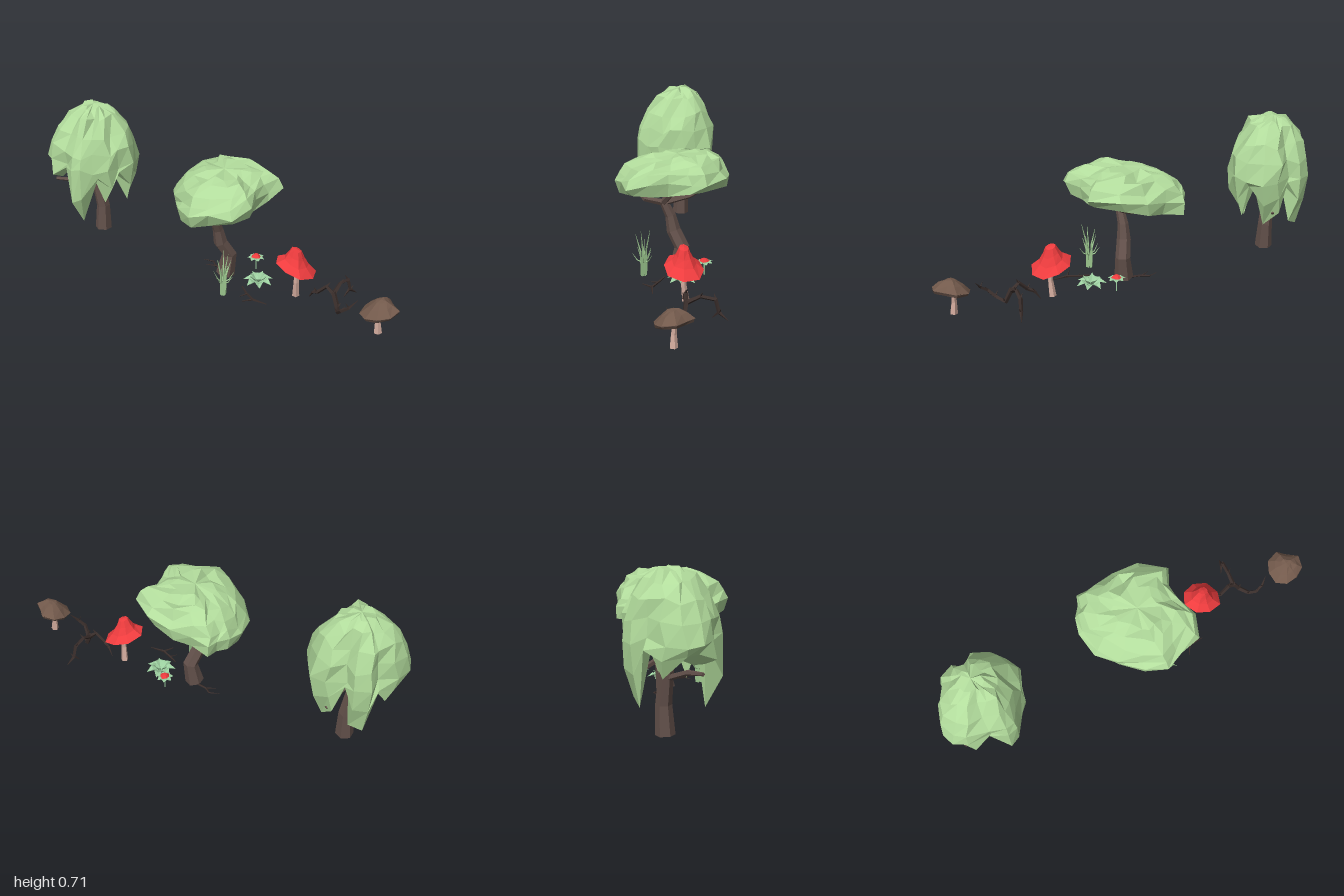
import * as THREE from 'three';

const mat = (color) => new THREE.MeshStandardMaterial({ color, flatShading: true, side: THREE.DoubleSide });
const M = {
  leaf: mat(0xb2dc9c), bark: mat(0x62504a), twig: mat(0x3a2e2b), red: mat(0xee3c3e), stem: mat(0xd0a99b),
  cap: mat(0x735a4c), gill: mat(0x9a8d86), darkGill: mat(0x5d4a41), plant: mat(0x9dd0a0), grass: mat(0x9cc78e),
};

let seed = 7;
const rnd = () => {
  seed = (seed * 16807) % 2147483647;
  return seed / 2147483647 - 0.5;
};

// Skin a list of equally long closed rings
function loft(parent, name, rings, material) {
  const n = rings[0].length, index = [];
  for (let i = 0; i < rings.length - 1; i++) {
    for (let j = 0; j < n; j++) {
      const k = (j + 1) % n, a = i * n + j, b = i * n + k;
      index.push(a, b, b + n, a, b + n, a + n);
    }
  }
  const geo = new THREE.BufferGeometry().setFromPoints(rings.flat());
  geo.setIndex(index);
  geo.computeVertexNormals();
  const mesh = new THREE.Mesh(geo, material);
  mesh.name = name;
  parent.add(mesh);
}

// Blob from a plan outline [x, z, tip] and profile rings [scale, height], top first
function blob(parent, name, outline, [cx, cz], profile, material, { tx = 0, tz = 0, jitter = 0 } = {}) {
  const rings = profile.map(([s, h]) => outline.map((p) => {
    const dx = (p[0] - cx) * s, dz = (p[1] - cz) * s, q = s ? jitter : 0;
    const y = typeof h === 'function' ? h(p) : h;
    return new THREE.Vector3(cx + dx + rnd() * q, y + tx * dx + tz * dz + rnd() * q * 1.3, cz + dz + rnd() * q);
  }));
  loft(parent, name, rings, material);
}

// Tapered faceted limb through points [x, y, z, radius]
function limb(parent, name, path, material, sides = 5) {
  const pts = path.map((p) => new THREE.Vector3(p[0], p[1], p[2]));
  const q = new THREE.Quaternion();
  let last = new THREE.Vector3(0, 1, 0);
  const rings = pts.map((p, i) => {
    const t = pts[Math.min(i + 1, pts.length - 1)].clone().sub(pts[Math.max(i - 1, 0)]).normalize();
    q.premultiply(new THREE.Quaternion().setFromUnitVectors(last, t));
    last = t;
    return Array.from({ length: sides }, (_, j) => {
      const a = (j / sides) * Math.PI * 2, r = path[i][3];
      return new THREE.Vector3(Math.cos(a) * r, 0, -Math.sin(a) * r).applyQuaternion(q).add(p);
    });
  });
  const cap = (p) => Array.from({ length: sides }, () => p.clone());
  loft(parent, name, [cap(pts[0]), ...rings, cap(pts[pts.length - 1])], material);
}

// Folded pointed leaves in a circle
function leafRing(parent, name, pos, count, length, width, rise, tipRise, material, twist = 0) {
  for (let i = 0; i < count; i++) {
    const geo = new THREE.BufferGeometry();
    geo.setAttribute('position', new THREE.Float32BufferAttribute([
      0, 0, 0, width / 2, rise, length * 0.55, 0, rise * 0.6, length * 0.55,
      -width / 2, rise, length * 0.55, 0, tipRise, length], 3));
    geo.setIndex([0, 2, 1, 0, 3, 2, 1, 2, 4, 2, 3, 4]);
    geo.computeVertexNormals();
    const leaf = new THREE.Mesh(geo, material);
    leaf.name = name;
    leaf.position.set(...pos);
    leaf.rotation.y = twist + (i / count) * Math.PI * 2;
    parent.add(leaf);
  }
}

function group(root, name) {
  const g = new THREE.Group();
  g.name = name;
  root.add(g);
  return g;
}

function circleOutline(cx, cz, radii) {
  return radii.map((r, i) => {
    const a = (i / radii.length) * Math.PI * 2;
    return [cx + Math.cos(a) * r, cz + Math.sin(a) * r];
  });
}

export function createModel() {
  seed = 7;
  const root = new THREE.Group();

  // Flat-topped tree
  const flat = group(root, 'umbrellaTree');
  blob(flat, 'umbrellaCanopy', [
    [0.07, -0.235], [0.16, -0.22], [0.2, -0.17], [0.262, -0.15], [0.25, -0.06], [0.262, 0.04], [0.24, 0.16],
    [0.16, 0.28], [0.08, 0.265], [-0.01, 0.25], [-0.11, 0.285], [-0.2, 0.25], [-0.225, 0.14], [-0.275, 0.06],
    [-0.22, -0.04], [-0.14, -0.13], [-0.04, -0.2]], [0.02, 0.05],
  [[0, 0.582], [0.4, 0.577], [0.62, 0.56], [0.8, 0.538], [0.93, 0.505], [1, 0.46], [0.93, 0.415], [0.7, 0.435], [0.35, 0.462], [0, 0.47]],
  M.leaf, { tx: 0.06, tz: 0.13, jitter: 0.027 });
  limb(flat, 'umbrellaTrunk', [[0.03, 0.01, 0.052, 0.046], [0.045, 0.12, 0.065, 0.036], [0.005, 0.195, 0.04, 0.034],
    [-0.01, 0.27, 0.036, 0.026], [-0.045, 0.345, 0.038, 0.02]], M.bark, 6);
  [
    [[-0.04, 0.335, 0.04, 0.017], [-0.13, 0.36, 0.06, 0.013], [-0.19, 0.42, 0.02, 0.009]],
    [[-0.045, 0.335, 0.04, 0.017], [-0.01, 0.39, 0.09, 0.014], [0.04, 0.455, 0.16, 0.01]],
    [[-0.045, 0.335, 0.04, 0.017], [0.08, 0.37, 0.04, 0.013], [0.2, 0.425, 0.0, 0.009]],
    [[-0.045, 0.335, 0.04, 0.016], [-0.01, 0.37, -0.07, 0.012], [0.06, 0.41, -0.18, 0.008]],
  ].forEach((p) => limb(flat, 'umbrellaBranch', p, M.bark));

  // Weeping tree: third outline value is how low the foliage hangs
  const weep = group(root, 'weepingTree');
  blob(weep, 'weepingCanopy', [
    [-0.05, -0.99, 0.36], [0.04, -0.975, 0.3], [0.11, -0.91, 0.38], [0.165, -0.9, 0.15], [0.195, -0.83, 0.19],
    [0.17, -0.78, 0.4], [0.215, -0.7, 0.26], [0.185, -0.63, 0.2], [0.12, -0.58, 0.37], [0.05, -0.545, 0.23],
    [-0.03, -0.575, 0.38], [-0.08, -0.585, 0.22], [-0.14, -0.63, 0.37], [-0.195, -0.67, 0.16], [-0.205, -0.72, 0.13],
    [-0.17, -0.8, 0.4], [-0.17, -0.9, 0.33], [-0.12, -0.965, 0.34]], [0.025, -0.77],
  [[0, 0.712], [0.28, 0.7], [0.52, 0.665], [0.78, 0.595], [0.93, 0.51], [1, 0.43], [0.96, (p) => 0.2 + p[2] * 0.52],
    [0.74, (p) => p[2]], [0.66, (p) => 0.25 + p[2] * 0.4], [0.5, 0.42], [0, 0.46]],
  M.leaf, { jitter: 0.026 });
  limb(weep, 'weepingTrunk', [[0.03, 0.01, -0.75, 0.043], [0.036, 0.14, -0.75, 0.035], [0.025, 0.28, -0.77, 0.031],
    [0.02, 0.48, -0.78, 0.018]], M.bark, 6);
  [
    [[0.03, 0.25, -0.765, 0.014], [-0.06, 0.295, -0.85, 0.012], [-0.12, 0.305, -0.925, 0.008]],
    [[0.03, 0.35, -0.77, 0.014], [0.1, 0.295, -0.73, 0.012], [0.17, 0.25, -0.7, 0.008]],
    [[0.025, 0.29, -0.765, 0.014], [0.03, 0.36, -0.85, 0.012], [0.06, 0.44, -0.9, 0.008]],
  ].forEach((p) => limb(weep, 'weepingBranch', p, M.bark));

  // Red mushroom
  const red = group(root, 'redMushroom');
  const redRim = circleOutline(0.058, 0.44, [0.088, 0.098, 0.093, 0.1, 0.09, 0.097, 0.102, 0.092]);
  const redTilt = { tx: -0.12, tz: -0.3, jitter: 0.004 };
  blob(red, 'redCap', redRim, [0.058, 0.44],
    [[0, 0.268], [0.24, 0.264], [0.4, 0.23], [0.6, 0.198], [1, 0.168], [0.78, 0.163]], M.red, redTilt);
  blob(red, 'redCapGills', redRim, [0.058, 0.44], [[0.8, 0.164], [0.5, 0.178], [0, 0.184]], M.gill, redTilt);
  limb(red, 'redMushroomStem', [[0.065, 0.012, 0.44, 0.018], [0.056, 0.09, 0.445, 0.013], [0.06, 0.19, 0.443, 0.009]], M.stem);

  // Brown mushroom
  const brown = group(root, 'brownMushroom');
  const brownRim = circleOutline(0.018, 0.907, [0.09, 0.068, 0.09, 0.09, 0.08, 0.086, 0.088, 0.085, 0.09]);
  const brownTilt = { tx: 0.15, tz: 0.2, jitter: 0.004 };
  blob(brown, 'brownCap', brownRim, [0.018, 0.907], [[0, 0.188], [0.28, 0.183], [0.62, 0.162], [1, 0.133]], M.cap, brownTilt);
  blob(brown, 'brownCapGills', brownRim, [0.018, 0.907],
    [[1, 0.133], [0.92, 0.118], [0.75, 0.125], [0.4, 0.132], [0, 0.135]], M.darkGill, brownTilt);
  limb(brown, 'brownMushroomStem', [[0.02, 0.012, 0.905, 0.019], [0.02, 0.07, 0.9, 0.013], [0.026, 0.135, 0.902, 0.01]], M.stem);

  // Thorny bramble, with a thorn at each bend
  const bramble = group(root, 'bramble');
  [
    [[0.07, 0.09, 0.64, 0.012], [0.13, 0.12, 0.64, 0.009], [0.195, 0.108, 0.645, 0.01], [0.21, 0.05, 0.65, 0.009], [0.25, 0.018, 0.665, 0.001]],
    [[0.21, 0.055, 0.65, 0.008], [0.18, 0.018, 0.635, 0.001]],
    [[0.07, 0.09, 0.64, 0.012], [0.066, 0.12, 0.605, 0.01], [0.06, 0.075, 0.56, 0.009], [0.07, 0.06, 0.53, 0.007], [0.08, 0.02, 0.505, 0.001]],
    [[0.07, 0.1, 0.64, 0.012], [0.06, 0.035, 0.67, 0.012], [0.01, 0.045, 0.7, 0.01], [-0.012, 0.075, 0.73, 0.009], [-0.005, 0.1, 0.765, 0.007], [0.02, 0.14, 0.795, 0.001]],
  ].forEach((p) => {
    limb(bramble, 'brambleStem', p, M.twig, 4);
    p.slice(1, -1).forEach(([x, y, z, r], i) => {
      const d = i % 2 ? -1 : 1;
      limb(bramble, 'thorn', [[x, y, z, r * 0.7], [x + d * 0.008, y + 0.024, z + d * 0.014, 0.0005]], M.twig, 3);
    });
  });

  // Fallen twigs
  [
    [[-0.035, 0.02, 0.2, 0.003], [-0.06, 0.013, 0.24, 0.005], [-0.09, 0.012, 0.3, 0.006], [-0.085, 0.012, 0.375, 0.002]],
    [[-0.09, 0.012, 0.3, 0.005], [-0.135, 0.015, 0.27, 0.002]],
    [[-0.065, 0.013, 0.25, 0.004], [-0.1, 0.008, 0.23, 0.001]],
    [[0.05, 0.012, 0.04, 0.006], [0.06, 0.01, -0.03, 0.006], [0.085, 0.012, -0.06, 0.004], [0.07, 0.014, -0.11, 0.001]],
    [[0.06, 0.01, -0.03, 0.004], [0.04, 0.012, -0.075, 0.001]],
  ].forEach((p) => limb(root, 'fallenTwig', p, M.twig, 4));

  // Tall grass: upright stalks and thin side blades
  const grass = group(root, 'tallGrass');
  for (let i = 0; i < 7; i++) {
    const a = i * 2.4, c = Math.cos(a), s = Math.sin(a), h = 0.15 + 0.016 * i;
    limb(grass, 'stalk', [[-0.135 + c * 0.011, 0.012, 0.16 + s * 0.011, 0.006],
      [-0.135 + c * 0.014, h * 0.6, 0.16 + s * 0.014, 0.005], [-0.135 + c * 0.036, h, 0.16 + s * 0.036, 0.0008]], M.grass, 3);
    if (i < 5) {
      limb(grass, 'sideBlade', [[-0.135, 0.075, 0.16, 0.003], [-0.135 + s * 0.03, 0.09, 0.16 + c * 0.03, 0.003],
        [-0.135 + s * 0.052, 0.125, 0.16 + c * 0.052, 0.0006]], M.grass, 3);
    }
  }

  // Leafy rosette
  const rosette = group(root, 'rosette');
  leafRing(rosette, 'outerLeaf', [0.05, 0.012, 0.235], 7, 0.075, 0.042, 0.03, 0.012, M.plant);
  leafRing(rosette, 'innerLeaf', [0.05, 0.015, 0.235], 5, 0.045, 0.03, 0.03, 0.042, M.plant, 0.4);

  // Small red flower
  const flower = group(root, 'flower');
  limb(flower, 'flowerStem', [[0.152, 0.012, 0.15, 0.003], [0.152, 0.08, 0.15, 0.0025]], M.plant, 4);
  leafRing(flower, 'flowerLeaf', [0.152, 0.074, 0.15], 7, 0.043, 0.032, 0.008, 0.002, M.plant, 0.2);
  blob(flower, 'blossom', circleOutline(0.152, 0.15, [0.026, 0.022, 0.026, 0.022, 0.026, 0.022, 0.024]), [0.152, 0.15],
    [[0, 0.096], [0.5, 0.094], [1, 0.083], [0, 0.078]], M.red);

  return root;
}
